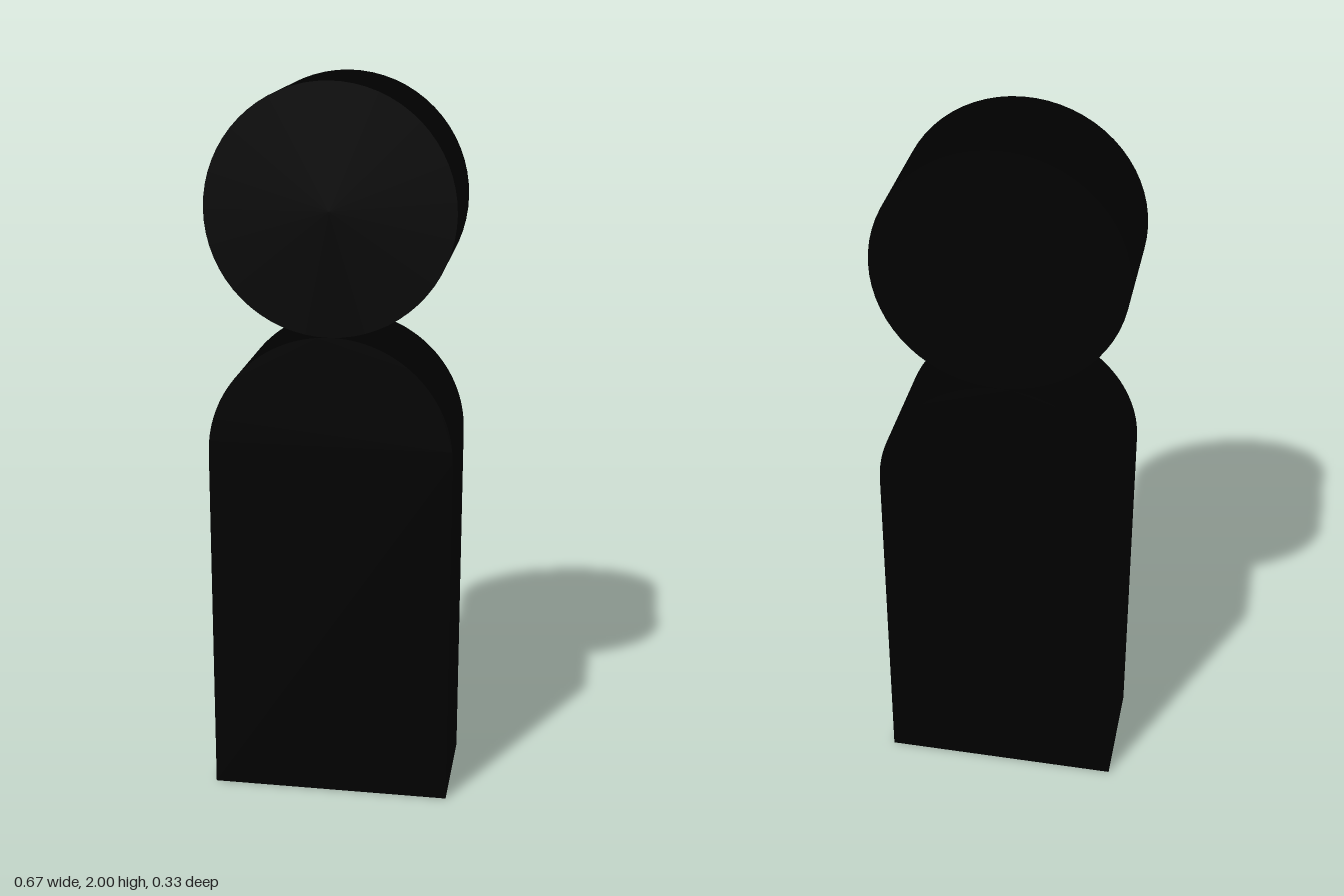
import * as THREE from 'three';
import { toCreasedNormals } from 'three/addons/utils/BufferGeometryUtils.js';

const R = 1 / 3;      // radius of the head and of the rounded shoulders
const DEPTH = 1 / 3;  // thickness of both parts

export function createModel() {
  const group = new THREE.Group();
  group.name = 'pegFigure';
  const material = new THREE.MeshStandardMaterial({ color: 0x000000 });

  // Head: an upright disc facing front
  const head = new THREE.Mesh(new THREE.CylinderGeometry(R, R, DEPTH, 64).rotateX(Math.PI / 2), material);
  head.name = 'head';
  head.position.y = 2 - R;
  group.add(head);

  // Body: a slab with a semicircular top
  const outline = new THREE.Shape();
  outline.moveTo(-R, 0);
  outline.lineTo(R, 0);
  outline.lineTo(R, 1);
  outline.absarc(0, 1, R, 0, Math.PI, false);
  outline.closePath();
  const slab = new THREE.ExtrudeGeometry(outline, { depth: DEPTH, bevelEnabled: false, curveSegments: 32 });
  slab.translate(0, 0, -DEPTH / 2);
  const body = new THREE.Mesh(toCreasedNormals(slab, Math.PI / 6), material);
  body.name = 'body';
  group.add(body);

  return group;
}
